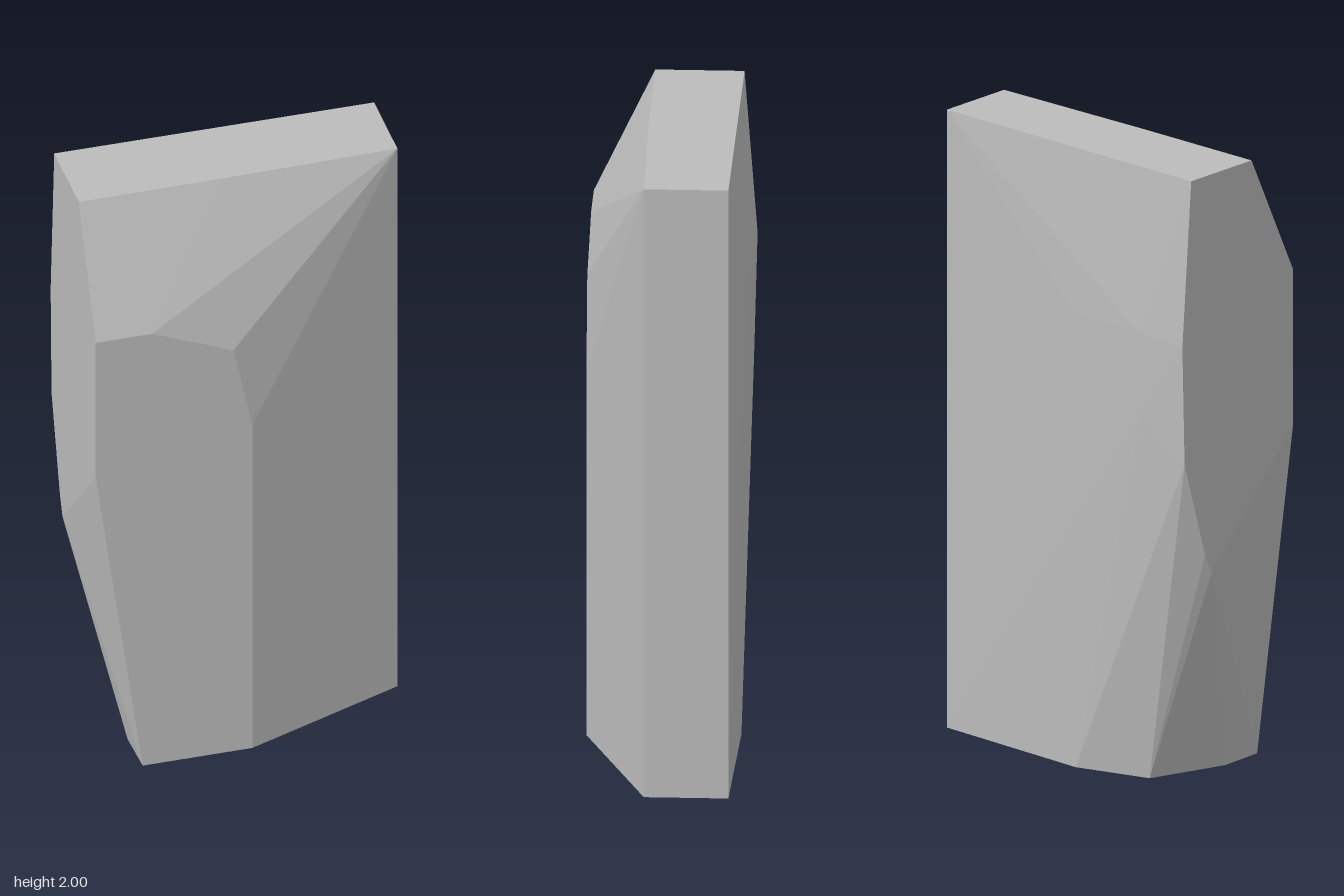
import * as THREE from 'three';
import { ConvexGeometry } from 'three/addons/geometries/ConvexGeometry.js';

export function createModel() {
  const grey = new THREE.MeshStandardMaterial({ color: 0xbcbcbc });
  grey.name = 'stoneGrey';

  // straight-cut edge: top and bottom corners of the +x side
  const cutSide = [
    [0.51, 0, 0.05], [0.51, 2, 0.05], [0.51, 0, -0.21], [0.51, 2, -0.21],
  ];
  // top rim towards -x
  const topRim = [[-0.05, 2, 0.06], [-0.51, 2, 0.061], [-0.51, 2, -0.213]];
  // flat front face with its chipped corner
  const frontFace = [
    [-0.51, 1.6], [-0.33, 1.6], [-0.07, 1.49], [-0.01, 1.2],
    [-0.01, 0], [-0.36, 0], [-0.51, 1.1],
  ].map(([x, y]) => [x, y, 0.25]);
  // gently swollen back
  const backFace = [
    [-0.51, 1.47, -0.253], [-0.33, 1.48, -0.253], [-0.05, 1.48, -0.244],
    [-0.335, 1.21, -0.252], [-0.51, 1.09, -0.243],
  ];
  // tapered lower corner on the -x side
  const lowerCorner = [
    [-0.51, 0.775, -0.15], [-0.51, 0.71, -0.12],
    [-0.365, 0, 0.1], [-0.28, 0, -0.15], [-0.04, 0, -0.225],
  ];

  const corners = [...cutSide, ...topRim, ...frontFace, ...backFace, ...lowerCorner];
  const slab = new THREE.Mesh(
    new ConvexGeometry(corners.map((p) => new THREE.Vector3(...p))), grey);
  slab.name = 'facetedSlab';

  const group = new THREE.Group();
  group.name = 'stoneSlab';
  group.add(slab);
  return group;
}
